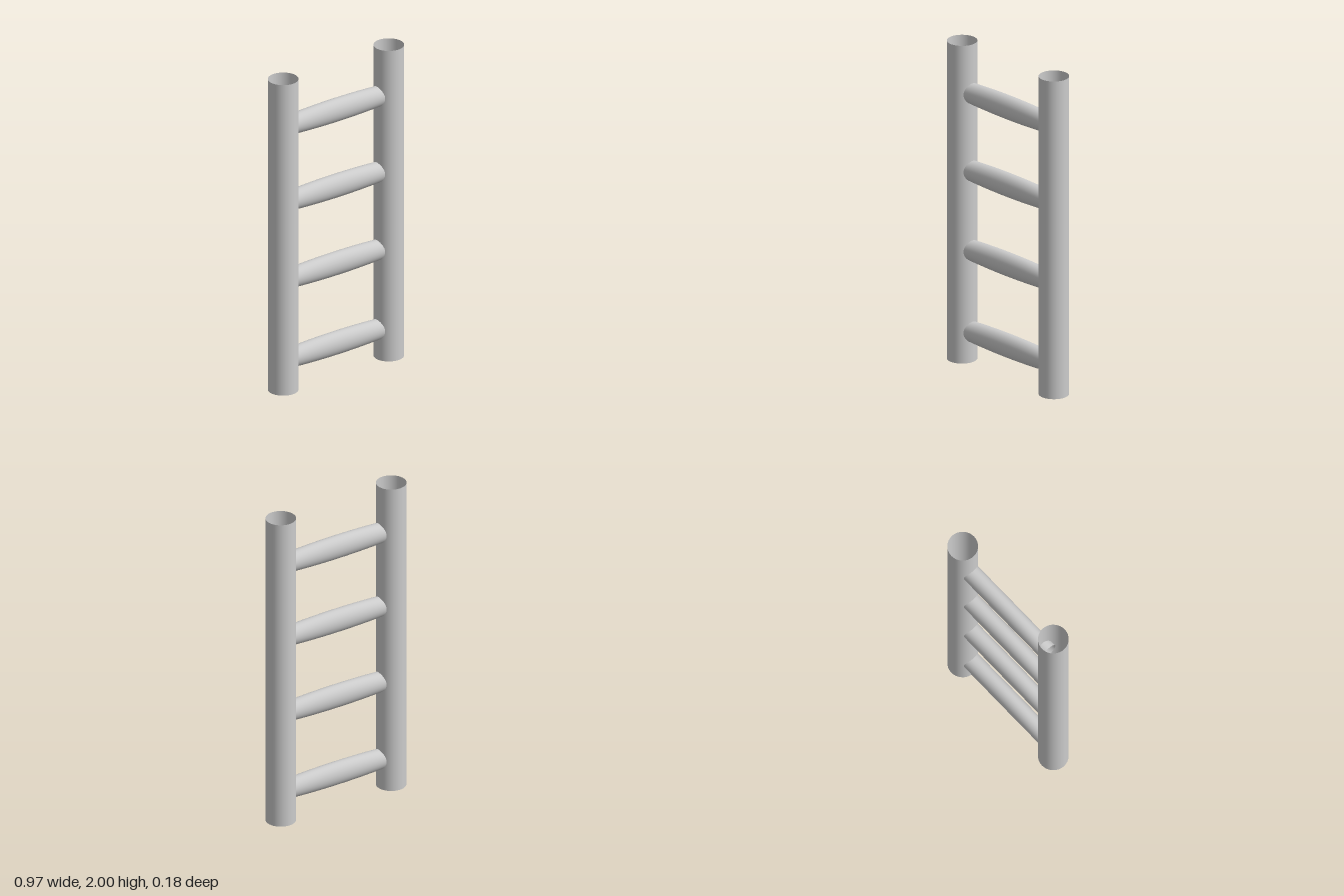
import * as THREE from 'three';

const RAIL_X = 0.393, RAIL_R = 0.09;
const RUNG_HEIGHTS = [0.191, 0.703, 1.203, 1.691];

export function createModel() {
  const group = new THREE.Group();
  const material = new THREE.MeshStandardMaterial({ color: 0xcccccc, side: THREE.DoubleSide });

  // Upright rails: open tubes
  const railGeometry = new THREE.CylinderGeometry(RAIL_R, RAIL_R, 2, 48, 1, true);
  for (const [name, side] of [['leftRail', 1], ['rightRail', -1]]) {
    const rail = new THREE.Mesh(railGeometry, material);
    rail.name = name;
    rail.position.set(side * RAIL_X, 1, 0);
    group.add(rail);
  }

  // Rungs: oval tubes of even depth whose height swells towards the middle
  const rungGeometry = new THREE.CylinderGeometry(1, 1, 0.678, 48, 24, true);
  rungGeometry.rotateZ(Math.PI / 2);
  rungGeometry.translate(-0.011, 0, 0);
  const p = rungGeometry.attributes.position;
  for (let i = 0; i < p.count; i++) {
    const x = p.getX(i);
    p.setY(i, p.getY(i) * (0.073 - 0.1 * x * x));
    p.setZ(i, p.getZ(i) * 0.0555);
  }
  // Smooth normals of the swollen oval, from its gradient
  const n = rungGeometry.attributes.normal;
  const v = new THREE.Vector3();
  for (let i = 0; i < p.count; i++) {
    const x = p.getX(i), y = p.getY(i), h = 0.073 - 0.1 * x * x;
    v.set((y * y * 0.2 * x) / h ** 3, y / h ** 2, p.getZ(i) / 0.0555 ** 2).normalize();
    n.setXYZ(i, v.x, v.y, v.z);
  }

  RUNG_HEIGHTS.forEach((y, i) => {
    const rung = new THREE.Mesh(rungGeometry, material);
    rung.name = `rung${i + 1}`;
    rung.position.y = y;
    group.add(rung);
  });

  return group;
}
